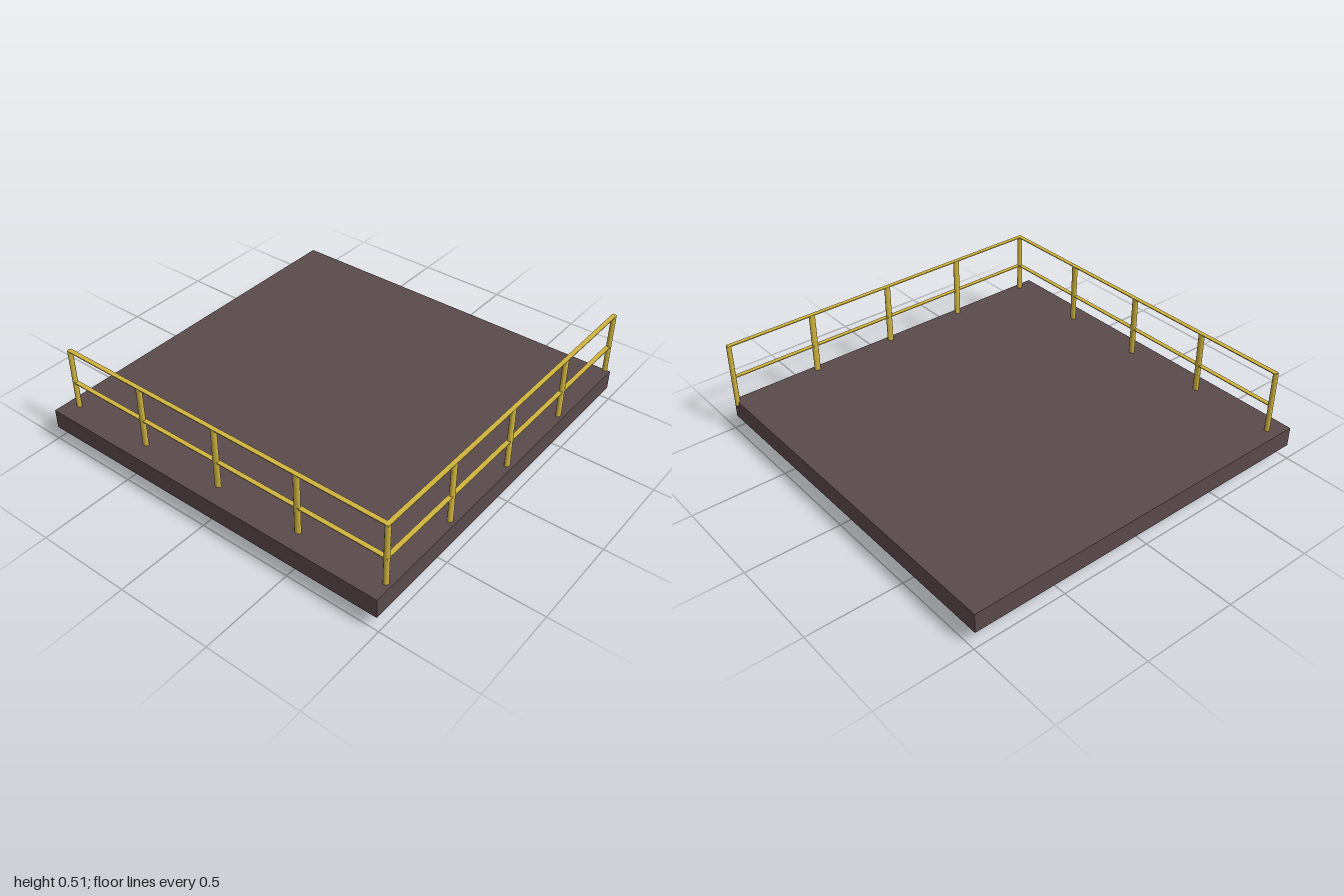
import * as THREE from 'three';

const deckMaterial = new THREE.MeshStandardMaterial({ color: 0x5a4a4c });
const railMaterial = new THREE.MeshStandardMaterial({ color: 0xd0b440 });

// Box given by its minimum and maximum corners
function box(name, min, max, material) {
  const size = max.map((v, i) => v - min[i]);
  const mesh = new THREE.Mesh(new THREE.BoxGeometry(...size), material);
  mesh.position.set(...max.map((v, i) => (v + min[i]) / 2));
  mesh.name = name;
  return mesh;
}

// Upright with an oval section, its long axis along local x
function post(x, z, bottom, top, width, depth) {
  const mesh = new THREE.Mesh(new THREE.CylinderGeometry(0.5, 0.5, top - bottom, 12), railMaterial);
  mesh.scale.set(width, 1, depth);
  mesh.position.set(x, (top + bottom) / 2, z);
  mesh.name = 'post';
  return mesh;
}

export function createModel() {
  const model = new THREE.Group();
  model.name = 'platform';

  // Slab and the smaller plinth beneath it
  model.add(box('plinth', [-0.85, 0, -0.84], [0.85, 0.08, 0.86], deckMaterial));
  model.add(box('deck', [-0.99, 0.076, -0.985], [0.988, 0.18, 1], deckMaterial));

  const corner = { x: 0.958, z: 0.9 };
  const top = 0.513;
  const half = 0.012;

  // Railing along the front edge
  const front = new THREE.Group();
  front.name = 'frontRailing';
  for (const x of [-0.925, -0.455, 0.013, 0.485]) {
    const end = x < -0.9;
    front.add(post(x, corner.z, 0.165, top, end ? 0.026 : 0.034, 0.026));
  }

  // Railing along the left edge
  const side = new THREE.Group();
  side.name = 'leftRailing';
  for (const z of [0.432, -0.036, -0.507, -0.984]) {
    const end = z < -0.9;
    side.add(post(corner.x, z, 0.162, top, 0.026, end ? 0.026 : 0.034));
  }

  // Thin flat rails at two heights
  for (const [name, y] of [['middleRail', 0.329], ['topRail', top]]) {
    const low = y - 0.003, high = y + 0.002;
    front.add(box(name, [-0.93, low, corner.z - half], [corner.x + half, high, corner.z + half], railMaterial));
    side.add(box(name, [corner.x - half, low, -0.99], [corner.x + half, high, corner.z - half], railMaterial));
  }

  const cornerPost = post(corner.x, corner.z, 0.165, top, 0.028, 0.028);
  cornerPost.name = 'cornerPost';
  model.add(front, side, cornerPost);
  return model;
}
